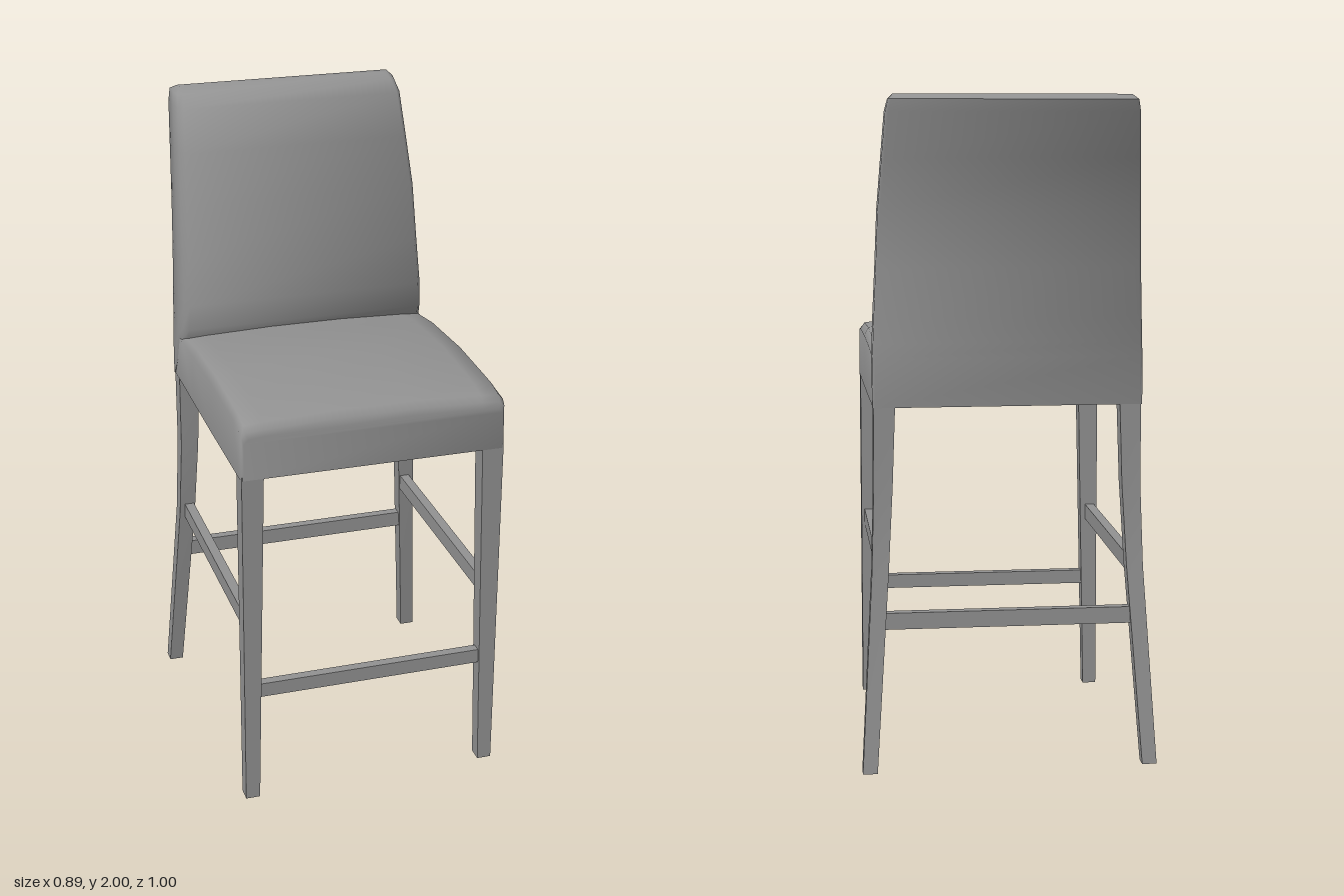
import * as THREE from 'three';
import { toCreasedNormals } from 'three/addons/utils/BufferGeometryUtils.js';

// Skin a list of equal-length cross-sections; caps are strips joining mirrored points.
function loft(sections, { closed = true, startCap = true, endCap = true, crease = 1.2 } = {}) {
  const n = sections[0].length;
  const index = [];
  const last = (sections.length - 1) * n;
  for (let i = 0; i < sections.length - 1; i++) {
    for (let j = 0; j < (closed ? n : n - 1); j++) {
      const k = (j + 1) % n;
      const a = i * n + j, b = i * n + k, c = b + n, d = a + n;
      index.push(a, b, c, a, c, d);
    }
  }
  for (let j = 0; j < n / 2 - 1; j++) {
    const a = j, b = j + 1, c = n - 2 - j, d = n - 1 - j;
    if (startCap) index.push(a, c, b, a, d, c);
    if (endCap) index.push(last + a, last + b, last + c, last + a, last + c, last + d);
  }
  const geo = new THREE.BufferGeometry();
  geo.setAttribute('position', new THREE.Float32BufferAttribute(sections.flat(2), 3));
  geo.setIndex(index);
  return toCreasedNormals(geo, crease);
}

export function createModel() {
  const group = new THREE.Group();
  const material = new THREE.MeshStandardMaterial({ color: 0x929292 });
  const shell = new THREE.MeshStandardMaterial({ color: 0x929292, side: THREE.DoubleSide });
  const add = (name, geo, mat = material) => {
    const mesh = new THREE.Mesh(geo, mat);
    mesh.name = name;
    group.add(mesh);
    return mesh;
  };

  // Seat: domed upholstery, hollow underneath; stations of [z, shoulder y, crown y, half width]
  const seatStations = [
    [0.499, 1.205, 1.23, 0.394], [0.493, 1.225, 1.248, 0.4], [0.475, 1.238, 1.265, 0.402],
    [0.41, 1.245, 1.285, 0.402], [0.15, 1.25, 1.302, 0.402], [-0.1, 1.245, 1.287, 0.401],
    [-0.24, 1.235, 1.258, 0.4], [-0.35, 1.235, 1.25, 0.4],
  ];
  const seatSection = ([z, side, top, w]) => {
    const rise = top - side;
    const half = [[w, 1.09], [w - 0.002, side], [w - 0.015, side + rise * 0.5],
      [0.33, side + rise * 0.68], [0.12, top]];
    return [
      ...half.map(([x, y]) => [-x, y, z]),
      ...half.slice().reverse().map(([x, y]) => [x, y, z]),
    ];
  };
  add('seat', loft(seatStations.map(seatSection), { closed: false, endCap: false }), shell);

  // Backrest: leaning cushion down to the seat base; rings of [y, front z, back z, half width]
  const backRings = [
    [1.09, -0.34, -0.357, 0.402], [1.235, -0.24, -0.364, 0.401], [1.28, -0.222, -0.366, 0.399],
    [1.36, -0.217, -0.372, 0.396], [1.5, -0.242, -0.384, 0.39], [1.67, -0.272, -0.402, 0.384],
    [1.82, -0.318, -0.448, 0.374], [1.95, -0.36, -0.488, 0.365], [1.985, -0.4, -0.5, 0.357],
    [2.0, -0.44, -0.465, 0.342],
  ];
  const backSection = ([y, f, b, w]) => {
    const d = f - b;
    const half = [[w - 0.02, f], [w - 0.006, f - d * 0.15], [w, f - d * 0.45],
      [w, b + d * 0.06], [w - 0.008, b]];
    return [
      ...half.map(([x, z]) => [x, y, z]),
      ...half.slice().reverse().map(([x, z]) => [-x, y, z]),
    ];
  };
  add('backrest', loft(backRings.map(backSection)));

  // Legs: square sections of [y, centre x, centre z, width, depth], mirrored by side
  const legSection = (side) => ([y, cx, z, w, d]) => {
    const x = cx * side, a = w / 2, b = d / 2;
    return [[x - a, y, z + b], [x + a, y, z + b], [x + a, y, z - b], [x - a, y, z - b]];
  };
  const frontLeg = [[0, 0.38, 0.463, 0.044, 0.046], [1.1, 0.367, 0.466, 0.066, 0.06]];
  const backLeg = [
    [0, 0.422, -0.412, 0.044, 0.044], [0.6, 0.383, -0.34, 0.05, 0.05],
    [0.85, 0.372, -0.324, 0.056, 0.054], [1.1, 0.367, -0.325, 0.064, 0.06],
  ];
  for (const [label, side] of [['left', 1], ['right', -1]]) {
    add(`${label}FrontLeg`, loft(frontLeg.map(legSection(side)), { crease: 0.4 }));
    add(`${label}BackLeg`, loft(backLeg.map(legSection(side)), { crease: 0.4 }));

    // Side stretcher between front and back leg
    add(`${label}Stretcher`, new THREE.BoxGeometry(0.03, 0.05, 0.78))
      .position.set(0.376 * side, 0.605, 0.06);
  }

  // Cross stretchers, the back one set higher
  add('frontStretcher', new THREE.BoxGeometry(0.73, 0.045, 0.03)).position.set(0, 0.375, 0.464);
  add('backStretcher', new THREE.BoxGeometry(0.75, 0.05, 0.03)).position.set(0, 0.45, -0.358);

  return group;
}
